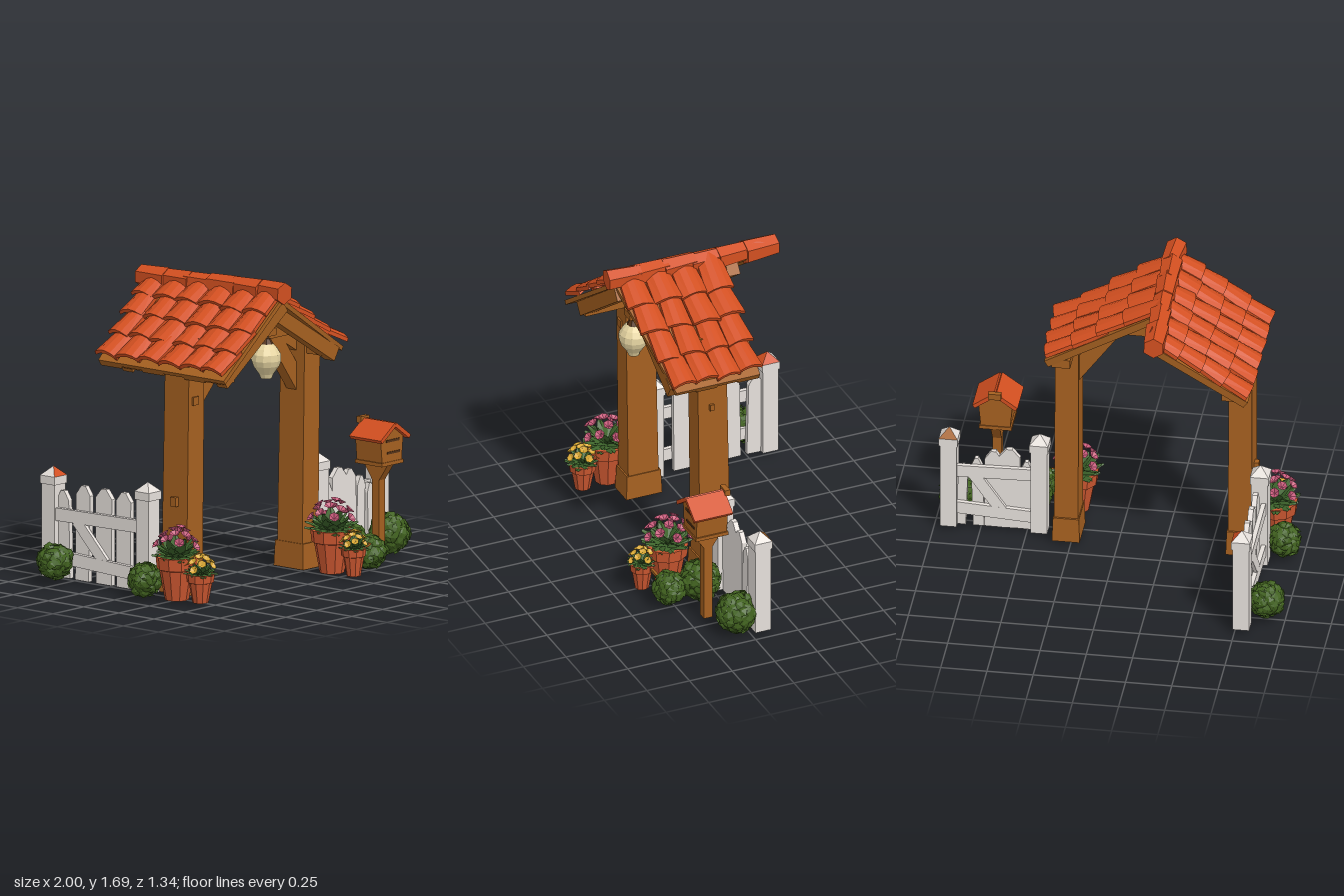
import * as THREE from 'three';
import { mergeGeometries } from 'three/addons/utils/BufferGeometryUtils.js';

const mat = (name, color, double) => {
  const m = new THREE.MeshStandardMaterial({ color });
  m.name = name;
  if (double) m.side = THREE.DoubleSide;
  return m;
};
const lerp = THREE.MathUtils.lerp;

export function createModel() {
  const root = new THREE.Group();
  root.name = 'gardenGate';
  const M = {
    wood: mat('wood', 0xa56020), tile: mat('roof tile', 0xd24f20), pot: mat('terracotta', 0xcb5730, true),
    white: mat('whitewashed wood', 0xe6e0db), bush: mat('bush green', 0x41621f, true),
    leaf: mat('leaf green', 0x3d642b, true), pink: mat('pink petals', 0xcc5a7c, true),
    yellow: mat('yellow petals', 0xdcaa33, true), glass: mat('lamp cream', 0xeddba6), dark: mat('dark iron', 0x553318),
  };
  let seed = 7;
  const rnd = (a = 0, b = 1) => {
    seed = (seed * 16807) % 2147483647;
    return a + (b - a) * (seed / 2147483647);
  };
  const flat = (g) => {
    const f = g.index ? g.toNonIndexed() : g;
    f.computeVertexNormals();
    return f;
  };
  const add = (name, geo, m, parent = root) => {
    const mesh = new THREE.Mesh(flat(geo), m);
    mesh.name = name;
    parent.add(mesh);
    return mesh;
  };
  const warp = (g, fn) => {
    const p = g.attributes.position, v = new THREE.Vector3();
    for (let i = 0; i < p.count; i++) {
      fn(v.fromBufferAttribute(p, i));
      p.setXYZ(i, v.x, v.y, v.z);
    }
    return g;
  };
  // Box given by its limits on each axis
  const box = (name, x0, x1, y0, y1, z0, z1, m = M.wood, parent = root) =>
    add(name, new THREE.BoxGeometry(x1 - x0, y1 - y0, z1 - z0)
      .translate((x0 + x1) / 2, (y0 + y1) / 2, (z0 + z1) / 2), m, parent);
  // Straight beam between two points in a plane of constant z
  const beam = (name, x0, y0, x1, y1, h, d, z, m = M.wood, parent = root) => {
    const b = add(name, new THREE.BoxGeometry(Math.hypot(x1 - x0, y1 - y0), h, d), m, parent);
    b.position.set((x0 + x1) / 2, (y0 + y1) / 2, z);
    b.rotation.z = Math.atan2(y1 - y0, x1 - x0);
    return b;
  };
  const extrude = (points, depth) => new THREE.ExtrudeGeometry(
    new THREE.Shape(points.map(([x, y]) => new THREE.Vector2(x, y))), { depth, bevelEnabled: false });

  // Gate posts with plinths and pegs
  for (const x of [-0.665, 0.275]) {
    add('gatePost', warp(new THREE.BoxGeometry(0.125, 1.25, 0.17), (v) => {
      if (v.y < 0) { v.x *= 1.05; v.z = v.z * 1.05 - 0.02; }
      v.x += x; v.y += 0.645; v.z += 0.207;
    }), M.wood);
    add('postPlinth', warp(new THREE.BoxGeometry(0.15, 0.14, 0.21), (v) => {
      if (v.y > 0) { v.x *= 0.94; v.z *= 0.94; }
      v.x += x; v.y += 0.09; v.z += 0.188;
    }), M.wood);
  }
  box('frontPeg', -0.7, -0.655, 1.055, 1.1, 0.28, 0.3);
  box('sidePeg', 0.33, 0.352, 1.065, 1.1, 0.2, 0.225);
  box('hingeBlock', -0.755, -0.72, 0.5, 0.55, 0.18, 0.22);

  // Frame: tie beam, king post, braces, wall plates and lamp arm
  box('tieBeam', -0.6, 0.16, 1.31, 1.4, 0.15, 0.25);
  box('kingPost', -0.285, -0.215, 1.38, 1.56, 0.16, 0.24);
  beam('leftBrace', -0.64, 1.0, -0.3, 1.35, 0.075, 0.07, 0.2);
  beam('rightBrace', 0.25, 1.02, 0.01, 1.35, 0.09, 0.07, 0.2);
  box('leftWallPlate', -0.715, -0.62, 1.2, 1.25, -0.26, 0.52);
  box('rightWallPlate', 0.23, 0.33, 1.2, 1.25, -0.06, 0.4);
  box('ridgeBeam', -0.285, -0.215, 1.49, 1.56, -0.1, 0.46);
  box('lampArm', -0.275, -0.195, 1.385, 1.425, 0.2, 0.45);

  // Roof slopes: planks below, rows of curved tiles above
  const ridge = { x: -0.25, y: 1.61 };
  const slopes = [
    { s: -1, x: -0.77, y: 1.235, r: [-0.41, 0.54], e: [-0.315, 0.575], cols: 6, rafters: [0.49, 0.2, -0.18] },
    { s: 1, x: 0.37, y: 1.235, r: [-0.11, 0.52], e: [-0.06, 0.43], cols: 4, rafters: [0.41, 0.2] },
  ];
  for (const k of slopes) {
    const at = (u, v) => new THREE.Vector3(lerp(ridge.x, k.x, u), lerp(ridge.y, k.y, u),
      lerp(lerp(k.r[0], k.r[1], v), lerp(k.e[0], k.e[1], v), u));
    const down = at(1, 0).sub(at(0, 0)).setZ(0), len = down.length();
    down.normalize();
    const up = new THREE.Vector3(-k.s * down.y, Math.abs(down.x), 0);
    const basis = new THREE.Matrix4().makeBasis(down, up, new THREE.Vector3().crossVectors(down, up));
    for (let c = 0; c < k.cols; c++) {
      const thick = c % 2 ? 0.025 : 0.04;
      add('roofPlank', warp(new THREE.BoxGeometry(1, 1, 1), (p) => {
        const low = p.y < 0;
        p.copy(at(0.5 + k.s * p.x, (c + 0.5 + p.z) / k.cols)).addScaledVector(up, low ? -thick : 0);
      }), M.wood);
    }
    for (const z of k.rafters) {
      const a = at(z > 0 ? 0 : 0.08, 0).addScaledVector(up, -0.062), b = at(0.94, 0).addScaledVector(up, -0.062);
      beam('rafter', a.x, a.y, b.x, b.y, 0.08, 0.07, z);
    }
    const rows = 4, pitch = len / rows;
    for (let row = 0; row < rows; row++) for (let c = 0; c < k.cols; c++) {
      const u = 0.94 * (row + 0.5) / rows;
      const w = lerp(k.r[1] - k.r[0], k.e[1] - k.e[0], u) / k.cols * rnd(1.0, 1.1);
      const l = pitch * rnd(1.1, 1.28), skew = rnd(-0.1, 0.1);
      const g = warp(new THREE.BoxGeometry(l, 0.022, w, 1, 1, 4), (p) => {
        p.y += 0.028 * Math.cos(Math.PI * p.z / w);
        if (p.x < 0) p.z *= 0.82;
        else p.x += skew * p.z;
      });
      g.rotateY(rnd(-0.08, 0.08)).rotateX(rnd(-0.06, 0.06)).rotateZ(rnd(0.06, 0.13)).applyMatrix4(basis);
      add('roofTile', g, M.tile).position.copy(at(u, (c + 0.5) / k.cols).addScaledVector(up, 0.013 + rnd(0, 0.008)));
    }
  }
  // Ridge caps
  for (let i = 0; i < 6; i++) {
    const r = i === 5 ? 0.07 : 0.058 + rnd(0, 0.007);
    const cap = add('ridgeCap', new THREE.CylinderGeometry(r, r * 0.85, 0.19, 6).rotateX(Math.PI / 2), M.tile);
    cap.position.set(-0.25 - i * 0.005, 1.635 - i * 0.006, 0.465 - i * 0.162);
    cap.rotation.set(0.02, rnd(-0.08, 0.08), rnd(-0.15, 0.15));
  }

  // Hanging lamp
  const lampProfile = [[0, 1.15], [0.03, 1.15], [0.04, 1.175], [0.072, 1.22], [0.082, 1.25], [0.08, 1.285],
    [0.062, 1.315], [0.038, 1.34], [0, 1.34]];
  add('lampGlass', new THREE.LatheGeometry(lampProfile.map(([x, y]) => new THREE.Vector2(x, y)), 12), M.glass)
    .position.set(-0.235, 0, 0.41);
  add('lampCap', new THREE.CylinderGeometry(0.022, 0.04, 0.03, 8), M.dark).position.set(-0.235, 1.353, 0.41);
  add('lampHook', new THREE.TorusGeometry(0.018, 0.006, 4, 8), M.dark).position.set(-0.235, 1.38, 0.41);

  // Picket fences, running along local x with rails behind
  const fence = (name, length, pickets, capMat, paintedSides) => {
    const g = new THREE.Group();
    g.name = name;
    root.add(g);
    [0, length].forEach((x, i) => {
      box('fencePost', x - 0.045, x + 0.045, 0, 0.51, -0.045, 0.045, M.white, g);
      box('postCollar', x - 0.051, x + 0.051, 0.505, 0.55, -0.051, 0.051, M.white, g);
      for (let side = 0; side < 4; side++) {
        add('postCap', new THREE.CylinderGeometry(0, 0.072, 0.05, 1, 1, true, (side - 0.5) * Math.PI / 2, Math.PI / 2),
          i && paintedSides.includes(side) ? capMat : M.white, g).position.set(x, 0.575, 0);
      }
    });
    beam('upperRail', 0, 0.355, length, 0.345, 0.07, 0.025, -0.022, M.white, g);
    beam('lowerRail', 0, 0.09, length, 0.12, 0.07, 0.025, -0.022, M.white, g);
    beam('diagonalRail', length * 0.42, 0.12, length * 0.72, 0.33, 0.065, 0.02, -0.024, M.white, g);
    for (const [x, w, h, tilt] of pickets) {
      const a = w / 2;
      const p = add('picket', extrude([[-a, 0], [a, 0], [a * 1.05, h - 0.05], [a * 0.3, h], [-a * 0.3, h],
        [-a * 1.05, h - 0.05]], 0.028), M.white, g);
      p.position.set(x, 0, -0.01);
      p.rotation.z = tilt;
    }
    return g;
  };
  fence('rightFence', 0.49, [[0.08, 0.06, 0.42, 0.02], [0.155, 0.11, 0.49, -0.02], [0.255, 0.09, 0.47, 0.01],
    [0.33, 0.06, 0.42, -0.03], [0.425, 0.05, 0.37, 0.03]], M.wood, [2]).position.set(0.43, 0.02, 0.19);
  const leftFence = fence('leftFence', 0.67, [[0.165, 0.1, 0.52, 0], [0.305, 0.11, 0.52, 0], [0.46, 0.095, 0.52, 0.02],
    [0.583, 0.08, 0.475, -0.03]], M.tile, [0, 3]);
  leftFence.position.set(-0.785, 0.02, 0.05);
  leftFence.rotation.y = Math.PI / 2;

  // Letter box on a pole
  const boxGroup = new THREE.Group();
  boxGroup.name = 'letterBox';
  boxGroup.position.set(0.69, 0, 0.4);
  root.add(boxGroup);
  box('pole', -0.025, 0.025, 0.02, 0.56, -0.025, 0.025, M.wood, boxGroup);
  add('boxBracket', extrude([[-0.02, 0.45], [0.02, 0.45], [0.085, 0.545], [0.085, 0.56], [-0.085, 0.56], [-0.085, 0.545]], 0.05)
    .translate(0, 0, -0.025).rotateY(Math.PI / 2), M.wood, boxGroup);
  for (const s of [-1, 1]) {
    beam('boxRoof', 0, 0.772, s * 0.116, 0.69, 0.022, 0.225, 0.01, M.tile, boxGroup);
  }
  add('boxBody', extrude([[-0.078, 0.55], [0.078, 0.55], [0.092, 0.7], [0, 0.765], [-0.092, 0.7]], 0.18),
    M.wood, boxGroup).position.z = -0.085;
  box('boxFloor', -0.088, 0.088, 0.548, 0.568, -0.09, 0.1, M.wood, boxGroup);
  box('letterSlot', -0.05, 0.055, 0.675, 0.688, 0.093, 0.1, M.dark, boxGroup);
  box('letterFlap', -0.04, 0.06, 0.61, 0.622, 0.093, 0.1, M.dark, boxGroup);
  box('roofKnob', -0.035, 0.035, 0.755, 0.79, -0.125, -0.095, M.wood, boxGroup);

  // Bushes: a core covered in overlapping faceted leaves
  const golden = Math.PI * (3 - Math.sqrt(5)), UP = new THREE.Vector3(0, 1, 0);
  const bush = (x, y, z, r) => {
    const parts = [new THREE.IcosahedronGeometry(r * 0.82, 2)];
    const n = 90;
    for (let i = 0; i < n; i++) {
      const h = 1 - (2 * i + 1) / n, c = Math.sqrt(1 - h * h), a = i * golden;
      const dir = new THREE.Vector3(c * Math.cos(a), h, c * Math.sin(a));
      const leaf = new THREE.ConeGeometry(r * 0.3, r * 0.12, 5, 1, true).toNonIndexed();
      leaf.rotateY(rnd(0, 6)).rotateX(rnd(-0.45, 0.45)).rotateZ(rnd(-0.45, 0.45));
      leaf.applyQuaternion(new THREE.Quaternion().setFromUnitVectors(UP, dir));
      parts.push(leaf.translate(...dir.multiplyScalar(r * rnd(0.83, 0.93)).toArray()));
    }
    add('bush', mergeGeometries(parts), M.bush).position.set(x, y, z);
  };
  bush(0.5, 0.13, 0.35, 0.12);
  bush(0.475, 0.11, 0.52, 0.1);
  bush(0.88, 0.125, 0.31, 0.12);
  bush(-0.9, 0.13, -0.51, 0.105);
  bush(-0.9, 0.115, 0.13, 0.1);

  // Flower pots with spreading leaves and small blooms
  const pottedPlant = (x, z, r, h, petals, bloomCount, bloomSize) => {
    const g = new THREE.Group();
    g.name = 'pottedPlant';
    g.position.set(x, 0.02, z);
    root.add(g);
    const profile = [[0, 0], [0.6, 0], [0.88, 0.7], [1, 0.72], [1.06, 1], [0.88, 1], [0.84, 0.85], [0, 0.85]];
    add('pot', new THREE.LatheGeometry(profile.map(([a, b]) => new THREE.Vector2(a * r, b * h)), 10), M.pot, g);
    const leaves = [], blooms = [];
    for (let i = 0; i < 40; i++) {
      const a = i * golden, tilt = 0.15 + 1.25 * Math.sqrt((i + 0.5) / 40), l = r * rnd(1.05, 1.4);
      const leaf = warp(new THREE.PlaneGeometry(r * 0.5, l, 2, 3).translate(0, l / 2, 0), (p) => {
        const t = p.y / l;
        p.z = Math.abs(p.x) * 0.35 + 0.12 * l * t * t;
        p.x *= 0.15 + 1.1 * Math.sin(Math.PI * Math.min(t * 0.9 + 0.05, 1));
      });
      leaf.rotateX(tilt).rotateY(a);
      leaves.push(leaf.translate(0, h * 0.95, 0).toNonIndexed());
    }
    for (let i = 0; i < bloomCount; i++) {
      const a = i * golden + 0.4, d = r * 1.1 * Math.sqrt((i + 0.5) / bloomCount);
      const bloom = new THREE.ConeGeometry(r * bloomSize, r * 0.2, 6, 1, true).rotateX(Math.PI);
      bloom.rotateX(0.9 * d / r).rotateY(a);
      blooms.push(bloom.translate(d * Math.sin(a), h + r * (1.42 - 0.75 * (d / r) ** 2) + rnd(-0.01, 0.01), d * Math.cos(a)).toNonIndexed());
    }
    add('leaves', mergeGeometries(leaves), M.leaf, g);
    add('flowers', mergeGeometries(blooms), petals, g);
  };
  pottedPlant(0.265, 0.44, 0.11, 0.235, M.pink, 15, 0.27);
  pottedPlant(0.27, 0.59, 0.064, 0.15, M.yellow, 16, 0.34);
  pottedPlant(-0.835, 0.3, 0.108, 0.235, M.pink, 15, 0.27);
  pottedPlant(-0.815, 0.45, 0.072, 0.155, M.yellow, 16, 0.34);
  box('plantStake', 0.35, 0.43, 0.155, 0.172, 0.56, 0.575);
  return root;
}
